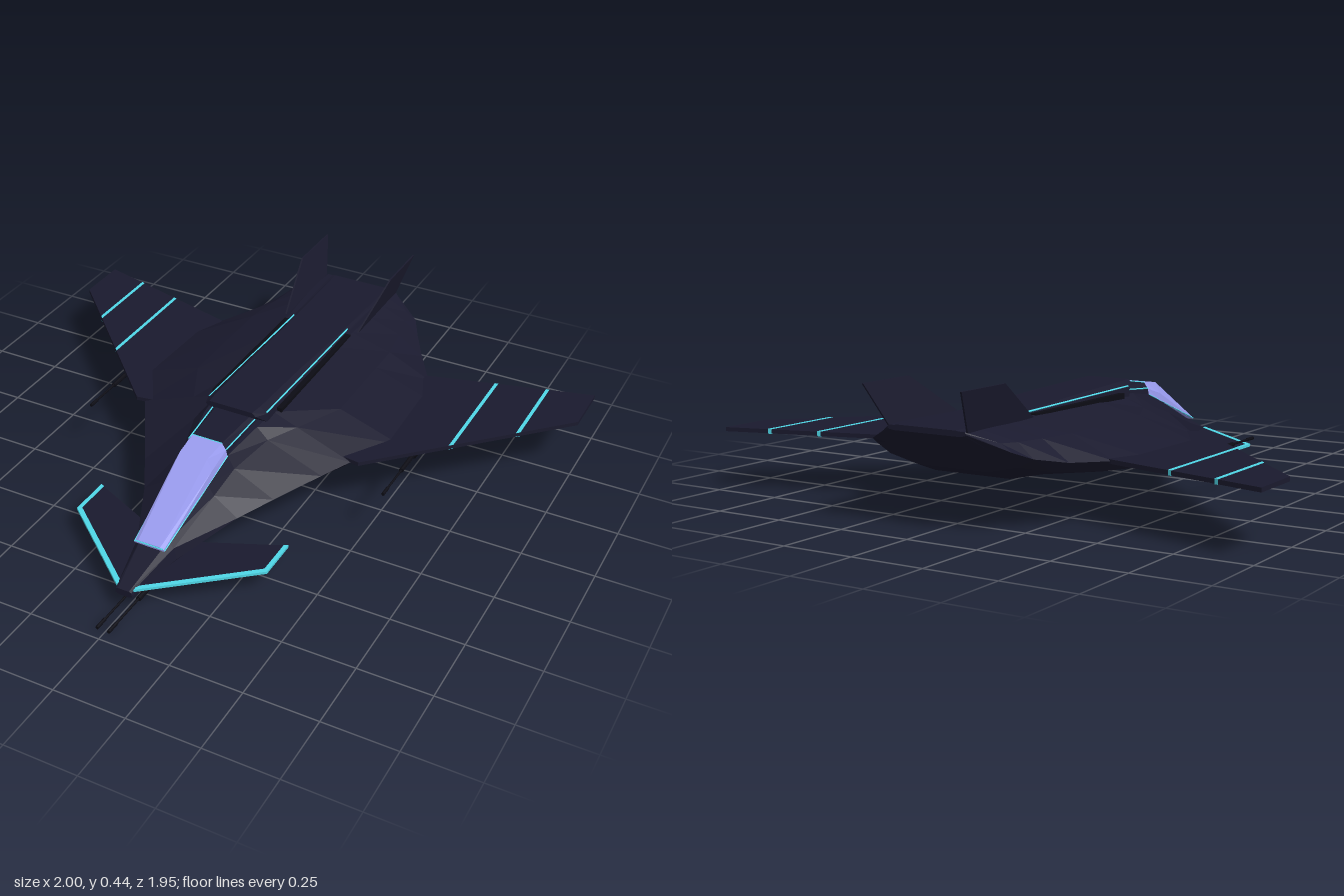
import * as THREE from 'three';

const paint = (color) => new THREE.MeshStandardMaterial({ color, flatShading: true, side: THREE.DoubleSide });

export function createModel() {
  const group = new THREE.Group();
  const dark = paint(0x1a1a2e), black = paint(0x0c0c14), cyan = paint(0x4fd8e8), glass = paint(0x9a9cf0);

  function add(name, geometry, material) {
    const mesh = new THREE.Mesh(geometry, material);
    mesh.name = name;
    group.add(mesh);
  }

  // Skin over mirrored half sections, front to back; each is [z, [x, y], ...] from belly to top
  function loft(sections) {
    const rings = sections.map(([z, ...half]) => [
      ...half.map(([x, y]) => [x, y, z]),
      ...half.slice().reverse().map(([x, y]) => [-x, y, z]),
    ]);
    const n = rings[0].length, last = (rings.length - 1) * n, index = [];
    for (let i = 0; i < rings.length - 1; i++) {
      for (let j = 0; j < n; j++) {
        const a = i * n + j, b = i * n + (j + 1) % n;
        index.push(a, a + n, b, b, a + n, b + n);
      }
    }
    for (let j = 1; j < n - 1; j++) index.push(0, j, j + 1, last, last + j + 1, last + j);
    const g = new THREE.BufferGeometry();
    g.setAttribute('position', new THREE.Float32BufferAttribute(rings.flat(2), 3));
    g.setIndex(index);
    const flat = g.toNonIndexed();
    flat.computeVertexNormals();
    return flat;
  }

  // Flat horizontal plate from [x, z] corners, centred on height y
  function plate(points, y, thickness, side) {
    const shape = new THREE.Shape(points.map(([x, z]) => new THREE.Vector2(x * side, -z)));
    return new THREE.ExtrudeGeometry(shape, { depth: thickness, bevelEnabled: false })
      .rotateX(-Math.PI / 2).translate(0, y - thickness / 2, 0);
  }

  // Straight rod between two points
  function rod(a, b, r, sides = 8) {
    const p = new THREE.Vector3(...a), q = new THREE.Vector3(...b);
    const dir = q.clone().sub(p);
    const turn = new THREE.Quaternion().setFromUnitVectors(new THREE.Vector3(0, 1, 0), dir.clone().normalize());
    const mid = p.add(q).multiplyScalar(0.5);
    return new THREE.CylinderGeometry(r, r, dir.length(), sides).applyQuaternion(turn).translate(mid.x, mid.y, mid.z);
  }

  // Faceted hull: belly, lower chine, outer edge, shoulder, deck
  add('hull', loft([
    [0.85, [0.02, 0.06], [0.03, 0.065], [0.03, 0.072], [0.028, 0.08], [0.02, 0.083]],
    [0.65, [0.03, 0.04], [0.07, 0.07], [0.075, 0.09], [0.065, 0.13], [0.045, 0.15]],
    [0.43, [0.05, 0.06], [0.12, 0.1], [0.175, 0.14], [0.09, 0.2], [0.07, 0.235]],
    [0.31, [0.07, 0.09], [0.18, 0.125], [0.245, 0.16], [0.1, 0.235], [0.075, 0.28]],
    [0.15, [0.1, 0.13], [0.29, 0.155], [0.34, 0.185], [0.14, 0.265], [0.1, 0.305]],
    [0.05, [0.11, 0.118], [0.36, 0.16], [0.4, 0.198], [0.2, 0.275], [0.11, 0.31]],
    [-0.12, [0.12, 0.113], [0.43, 0.16], [0.5, 0.2], [0.28, 0.275], [0.115, 0.312]],
    [-0.42, [0.14, 0.125], [0.43, 0.163], [0.49, 0.2], [0.28, 0.275], [0.12, 0.315]],
    [-0.54, [0.14, 0.132], [0.39, 0.167], [0.435, 0.203], [0.28, 0.275], [0.13, 0.316]],
    [-0.67, [0.14, 0.14], [0.3, 0.175], [0.355, 0.21], [0.26, 0.275], [0.14, 0.316]],
    [-0.77, [0.13, 0.175], [0.24, 0.2], [0.295, 0.23], [0.24, 0.277], [0.145, 0.316]],
    [-0.83, [0.13, 0.235], [0.2, 0.245], [0.26, 0.255], [0.22, 0.28], [0.145, 0.316]],
    [-0.9, [0.12, 0.3], [0.14, 0.303], [0.145, 0.307], [0.145, 0.311], [0.14, 0.316]],
  ]), dark);

  // Canopy and the raised spine behind it
  add('canopy', loft([
    [0.69, [0.055, 0.14], [0.053, 0.146], [0.04, 0.152]],
    [0.4, [0.072, 0.245], [0.068, 0.275], [0.05, 0.313]],
    [0.31, [0.075, 0.278], [0.07, 0.3], [0.055, 0.323]],
  ]), glass);
  add('cockpitFairing', loft([
    [0.31, [0.075, 0.27], [0.07, 0.3], [0.054, 0.322]],
    [0.12, [0.085, 0.29], [0.082, 0.315], [0.065, 0.327]],
  ]), dark);
  add('spine', loft([
    [0.15, [0.085, 0.335], [0.095, 0.342], [0.08, 0.354]],
    [0.1, [0.115, 0.3], [0.113, 0.333], [0.085, 0.352]],
    [-0.2, [0.12, 0.3], [0.113, 0.328], [0.09, 0.342]],
    [-0.55, [0.125, 0.3], [0.113, 0.32], [0.1, 0.325]],
    [-0.9, [0.13, 0.305], [0.125, 0.315], [0.11, 0.318]],
  ]), dark);

  for (const s of [1, -1]) {
    const side = s > 0 ? 'left' : 'right';

    // Swept wing with two bands across the chord
    add(side + 'Wing', plate([[0.36, 0.045], [0.43, 0.055], [1, -0.52], [1, -0.71], [0.43, -0.555], [0.3, -0.5]], 0.203, 0.014, s), dark);
    const lead = (x) => 0.055 - (x - 0.43) * 1.009, trail = (x) => -0.555 - (x - 0.43) * 0.272;
    for (const x of [0.665, 0.84]) {
      const a = x - 0.006, b = x + 0.006;
      add(side + 'WingBand', plate([[a, lead(a)], [b, lead(b)], [b, trail(b)], [a, trail(a)]], 0.203, 0.017, s), cyan);
    }

    // Canard with bright leading edge and tip
    add(side + 'Canard', plate([[0.02, 0.835], [0.35, 0.565], [0.35, 0.42], [0.14, 0.515], [0.04, 0.56]], 0.083, 0.007, s), dark);
    add(side + 'CanardTrim', plate([[0.03, 0.84], [0.355, 0.568], [0.355, 0.417], [0.341, 0.423], [0.341, 0.558], [0.03, 0.818]], 0.083, 0.009, s), cyan);

    // Tail fin, leaning outward
    const finShape = new THREE.Shape([[-0.55, 0.315], [-0.75, 0.445], [-0.97, 0.445], [-0.89, 0.305]].map((p) => new THREE.Vector2(...p)));
    const fin = new THREE.ExtrudeGeometry(finShape, { depth: 0.006, bevelEnabled: false }).rotateY(-Math.PI / 2);
    const pos = fin.attributes.position;
    for (let i = 0; i < pos.count; i++) {
      pos.setX(i, pos.getX(i) + 0.003 + s * (0.145 + (pos.getY(i) - 0.31) * 0.26));
    }
    fin.computeVertexNormals();
    add(side + 'TailFin', fin, dark);

    // Intake ledge and light strips beside the spine
    add(side + 'Intake', new THREE.BoxGeometry(0.022, 0.025, 0.55).translate(s * 0.122, 0.308, -0.24), black);
    add(side + 'SpineStrip', rod([s * 0.109, 0.336, 0.1], [s * 0.109, 0.325, -0.54], 0.0035, 4), cyan);
    add(side + 'CockpitStrip', rod([s * 0.07, 0.302, 0.31], [s * 0.08, 0.317, 0.13], 0.003, 4), cyan);
    add(side + 'CanopyStrip', rod([s * 0.055, 0.143, 0.69], [s * 0.075, 0.279, 0.31], 0.0025, 4), cyan);

    // Nose gun: housing, shroud, barrel, muzzle
    const gx = s * 0.021, gy = 0.017;
    add(side + 'NoseGunHousing', rod([gx, gy, 0.55], [gx, gy, 0.69], 0.017), black);
    add(side + 'NoseGunShroud', rod([gx, gy, 0.69], [gx, gy, 0.8], 0.009), black);
    add(side + 'NoseGunBarrel', rod([gx, gy, 0.8], [gx, gy, 0.97], 0.004), black);
    add(side + 'NoseGunMuzzle', rod([gx, gy, 0.93], [gx, gy, 0.975], 0.006), black);
    add(side + 'NoseGunMount', new THREE.BoxGeometry(0.015, 0.045, 0.08).translate(s * 0.015, 0.035, 0.61), black);

    // Gun slung under the wing
    const wx = s * 0.562, wy = 0.187;
    add(side + 'WingGunHousing', rod([wx, wy, -0.3], [wx, wy, -0.1], 0.014), black);
    add(side + 'WingGunShroud', rod([wx, wy, -0.1], [wx, wy, 0.0], 0.008), black);
    add(side + 'WingGunBarrel', rod([wx, wy, 0.0], [wx, wy, 0.15], 0.004), black);
    add(side + 'WingGunMuzzle', rod([wx, wy, 0.11], [wx, wy, 0.15], 0.006), black);
  }

  // Frame bars at both ends of the canopy
  add('canopyRearBar', rod([-0.056, 0.322, 0.31], [0.056, 0.322, 0.31], 0.003, 4), cyan);
  add('canopyFrontBar', rod([-0.05, 0.148, 0.69], [0.05, 0.148, 0.69], 0.003, 4), cyan);

  return group;
}
